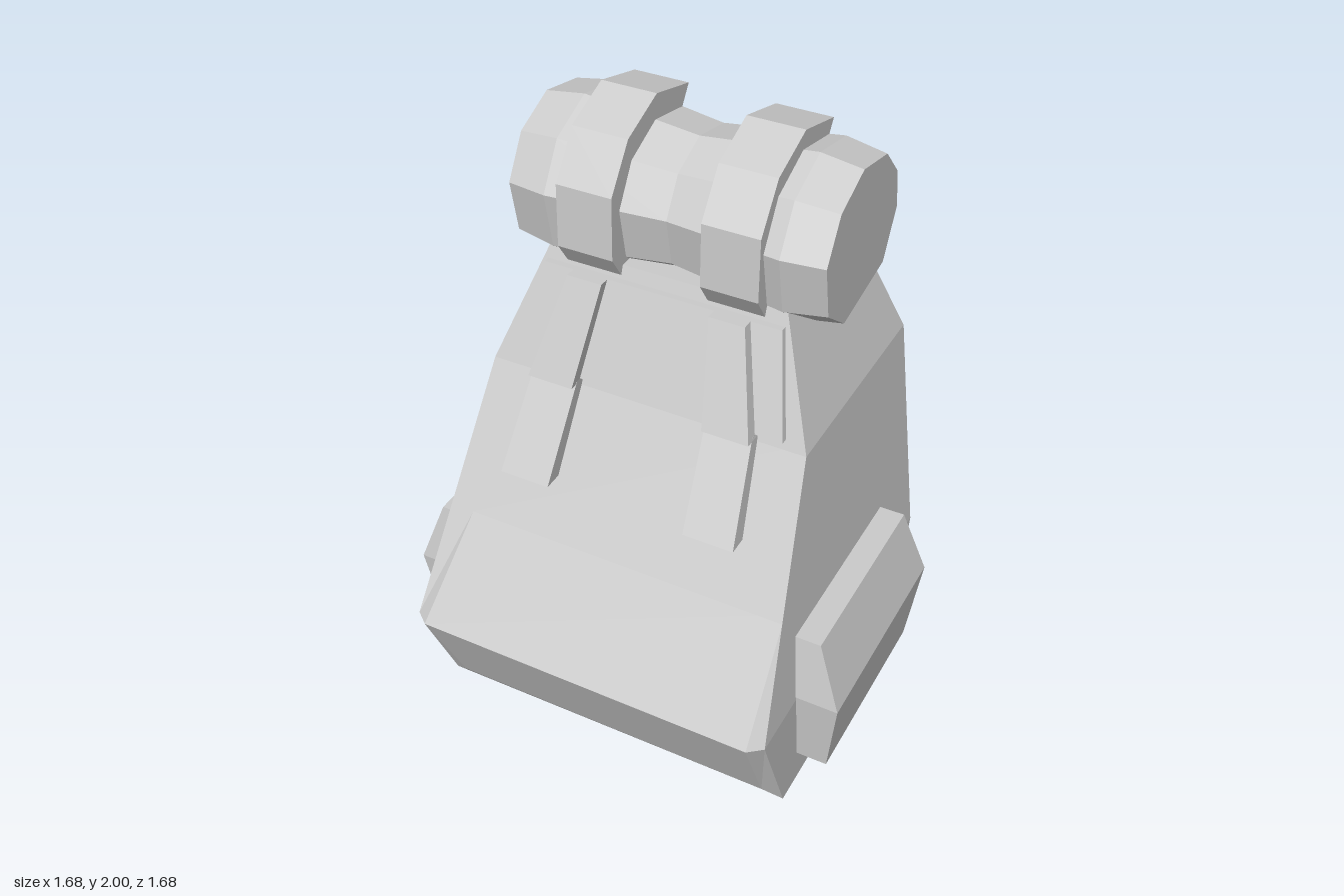
import * as THREE from 'three';

const mat = new THREE.MeshStandardMaterial({ color: 0xcccccc, flatShading: true });

// Skin a stack of equal-length point loops (counter-clockwise seen from the end) and cap both ends.
function loft(name, loops) {
  const pos = [], n = loops[0].length;
  const tri = (a, b, c) => pos.push(...a, ...b, ...c);
  for (let s = 0; s < loops.length - 1; s++) {
    const lo = loops[s], up = loops[s + 1];
    for (let i = 0; i < n; i++) {
      const j = (i + 1) % n;
      tri(lo[i], lo[j], up[j]);
      tri(lo[i], up[j], up[i]);
    }
  }
  const first = loops[0], last = loops[loops.length - 1];
  for (let i = 1; i < n - 1; i++) {
    tri(first[0], first[i + 1], first[i]);
    tri(last[0], last[i], last[i + 1]);
  }
  const geo = new THREE.BufferGeometry();
  geo.setAttribute('position', new THREE.Float32BufferAttribute(pos, 3));
  geo.computeVertexNormals();
  const mesh = new THREE.Mesh(geo, mat);
  mesh.name = name;
  return mesh;
}

// Rectangle at height y, spanning x0..x1 and back..front.
const rect = (y, x0, x1, back, front) =>
  [[x1, y, front], [x1, y, back], [x0, y, back], [x0, y, front]];

export function createModel() {
  const model = new THREE.Group();
  model.name = 'backpack';
  const pack = new THREE.Group();
  pack.name = 'pack';
  pack.rotation.y = -0.824;
  model.add(pack);

  // Body: [y, half width, back, front, panel y, panel half width, panel front]
  const body = [
    [0, 0.61, -0.49, 0.415, 0.05, 0.55, 0.45],
    [0.4, 0.61, -0.58, 0.58, 0.4, 0.565, 0.616],
    [0.74, 0.57, -0.575, 0.405, 0.74, 0.49, 0.405],
    [1.18, 0.52, -0.565, 0.178, 1.18, 0.45, 0.178],
    [1.55, 0.385, -0.444, 0.045, 1.55, 0.33, 0.045],
  ].map(([y, w, b, f, py, pw, pf]) =>
    [[pw, py, pf], [w, y, f], [w, y, b], [-w, y, b], [-w, y, f], [-pw, py, pf]]);
  pack.add(loft('body', body));

  // Thin flap over the upper front
  pack.add(loft('flap', [
    rect(1.21, -0.45, 0.45, 0.1, 0.188),
    rect(1.51, -0.385, 0.385, 0, 0.08),
  ]));

  // Bedroll: faceted irregular roll, narrower in the middle
  const cy = 1.69, cz = -0.19;
  const at = (x, deg, r, squash) => {
    const a = deg * Math.PI / 180;
    return [x, cy + Math.sin(a) * r * squash, cz + Math.cos(a) * r];
  };
  const rollAngles = [11, 47, 83, 122, 155, 186, 226, 292, 328];
  const rollRings = [[0.5, 0.262], [0.37, 0.285], [0, 0.235], [-0.37, 0.285], [-0.5, 0.262]];
  pack.add(loft('bedroll', rollRings.map(([x, r]) => rollAngles.map(d => at(x, d, r, 0.92)))));

  const bandAngles = [-50, -18, 20, 52, 86, 124];
  for (const s of [1, -1]) {
    const side = s > 0 ? 'left' : 'right';

    // Band round the front and top of the bedroll
    const sector = x => [[x, cy, cz], ...bandAngles.map(d => at(x, d, 0.31, 1))];
    pack.add(loft(side + 'BedrollBand', [sector(s * 0.23 + 0.09), sector(s * 0.23 - 0.09)]));

    // Strap in two lengths, splaying toward the bottom
    const strap = (y, x, half, back, front) => rect(y, s * x - half, s * x + half, back, front);
    pack.add(loft(side + 'UpperStrap', [
      strap(1.2, 0.29, 0.075, 0.12, 0.235),
      strap(1.51, 0.23, 0.057, 0, 0.115),
    ]));
    pack.add(loft(side + 'LowerStrap', [
      strap(0.92, 0.31, 0.082, 0.27, 0.375),
      strap(1.21, 0.288, 0.075, 0.1, 0.205),
    ]));

    // Side pocket bulging at mid height
    const pocket = [[0.125, 0.71, 0.325], [0.41, 0.745, 0.36], [0.63, 0.665, 0.33]]
      .map(([y, x, d]) => rect(y, Math.min(s * 0.5, s * x), Math.max(s * 0.5, s * x), -d, d));
    pack.add(loft(side + 'Pocket', pocket));
  }
  return model;
}
